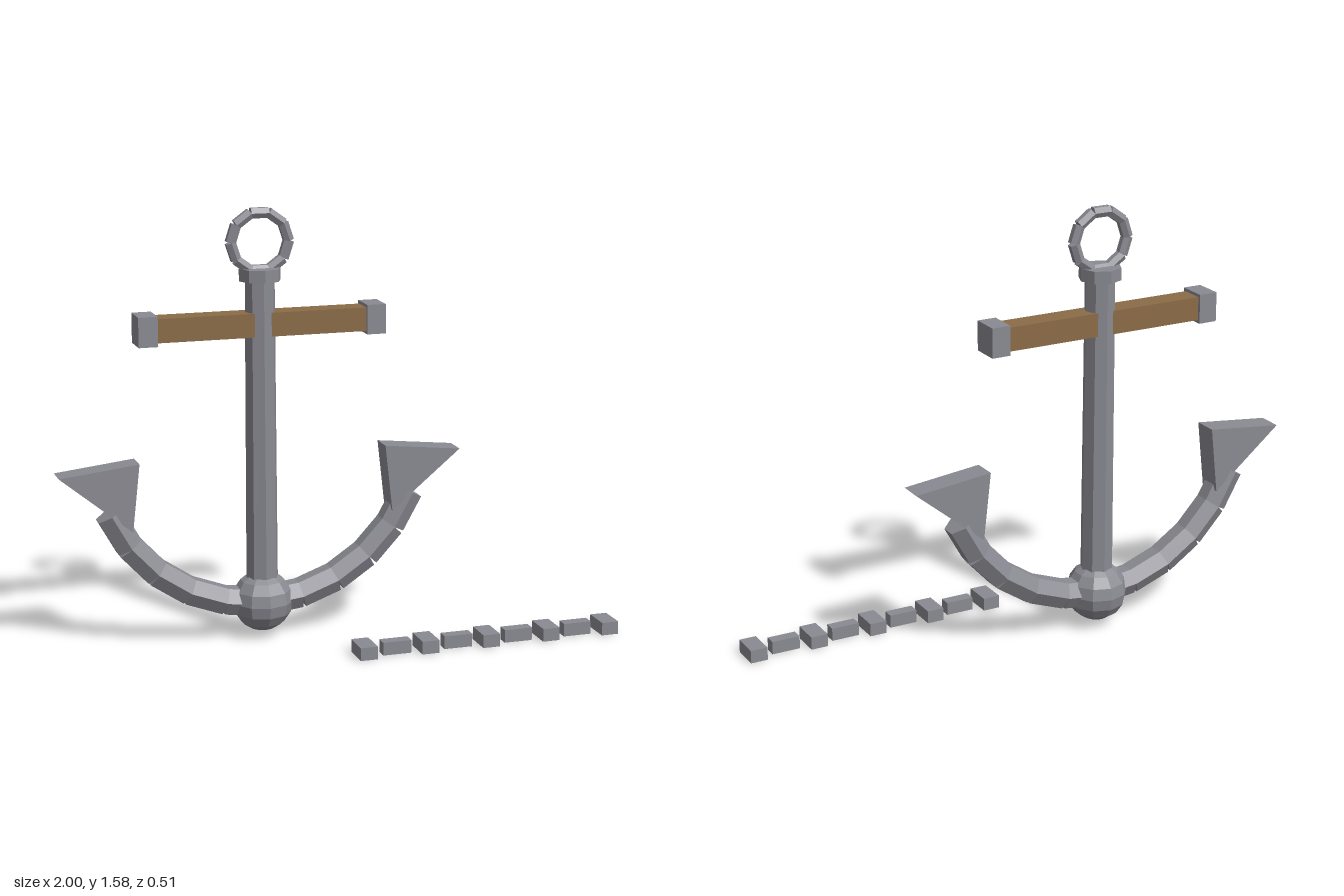
import * as THREE from 'three';

export function createModel() {
  const iron = new THREE.MeshStandardMaterial({ color: 0x8a8a92 });
  iron.name = 'iron grey';
  const wood = new THREE.MeshStandardMaterial({ color: 0x8b6b47 });
  wood.name = 'wood brown';
  iron.flatShading = wood.flatShading = true;

  const model = new THREE.Group();
  model.name = 'anchorAndChain';
  const anchor = new THREE.Group();
  anchor.name = 'anchor';
  anchor.position.set(-0.25, 0, -0.142);
  model.add(anchor);

  function add(parent, name, geometry, material, x, y, z = 0) {
    const mesh = new THREE.Mesh(geometry, material);
    mesh.name = name;
    mesh.position.set(x, y, z);
    parent.add(mesh);
    return mesh;
  }

  // Straight six-sided bars laid along an arc in the xy plane, split at the outside of each joint
  function arcOfBars(name, cy, radius, thickness, start, step, count) {
    const group = new THREE.Group();
    group.name = name;
    anchor.add(group);
    const bar = new THREE.CylinderGeometry(thickness, thickness, 2 * radius * Math.sin(step / 2), 6);
    const reach = radius * Math.cos(step / 2);
    for (let i = 0; i < count; i++) {
      const a = start + (i + 0.5) * step;
      add(group, name + 'Segment', bar, iron, reach * Math.cos(a), cy + reach * Math.sin(a)).rotation.z = a;
    }
  }

  // Shank, collar and crown ball
  add(anchor, 'shank', new THREE.CylinderGeometry(0.055, 0.06, 1.22, 8), iron, 0, 0.74);
  add(anchor, 'collar', new THREE.CylinderGeometry(0.077, 0.077, 0.045, 8), iron, 0, 1.343);
  const ball = add(anchor, 'crownBall', new THREE.SphereGeometry(0.114, 10, 8), iron, 0, 0.133);
  ball.rotation.y = Math.PI / 2;
  ball.scale.y = 0.98;

  // Shackle ring and curved arms
  const ringStep = Math.PI / 5;
  arcOfBars('ring', 1.46, 0.107, 0.021, Math.PI / 2 - ringStep / 2, ringStep, 10);
  const armHalf = THREE.MathUtils.degToRad(67.5);
  arcOfBars('arm', 0.741, 0.611, 0.056, -Math.PI / 2 - armHalf, armHalf / 5, 10);

  // Wooden stock with iron end caps
  add(anchor, 'stock', new THREE.BoxGeometry(0.8, 0.086, 0.086), wood, 0, 1.166);

  for (const side of [-1, 1]) {
    add(anchor, 'stockCap', new THREE.BoxGeometry(0.07, 0.108, 0.108), iron, side * 0.421, 1.166);

    // Triangular fluke at the end of the arm
    const shape = new THREE.Shape([
      [0.75, 0.66], [0.46, 0.692], [0.488, 0.444],
    ].map(([x, y]) => new THREE.Vector2(side * x, y)));
    add(anchor, 'fluke', new THREE.ExtrudeGeometry(shape, { depth: 0.092, bevelEnabled: false }),
      iron, 0, 0, -0.046);
  }

  // Chain on the ground: flat and upright links alternate
  const chain = new THREE.Group();
  chain.name = 'chain';
  model.add(chain);
  const wide = new THREE.BoxGeometry(0.064, 0.048, 0.108);
  const narrow = new THREE.BoxGeometry(0.106, 0.048, 0.044);
  for (let i = 0; i < 9; i++) {
    add(chain, 'chainLink', i % 2 ? narrow : wide, iron, 0.032 + i * 0.117, 0.024, 0.2);
  }

  return model;
}
